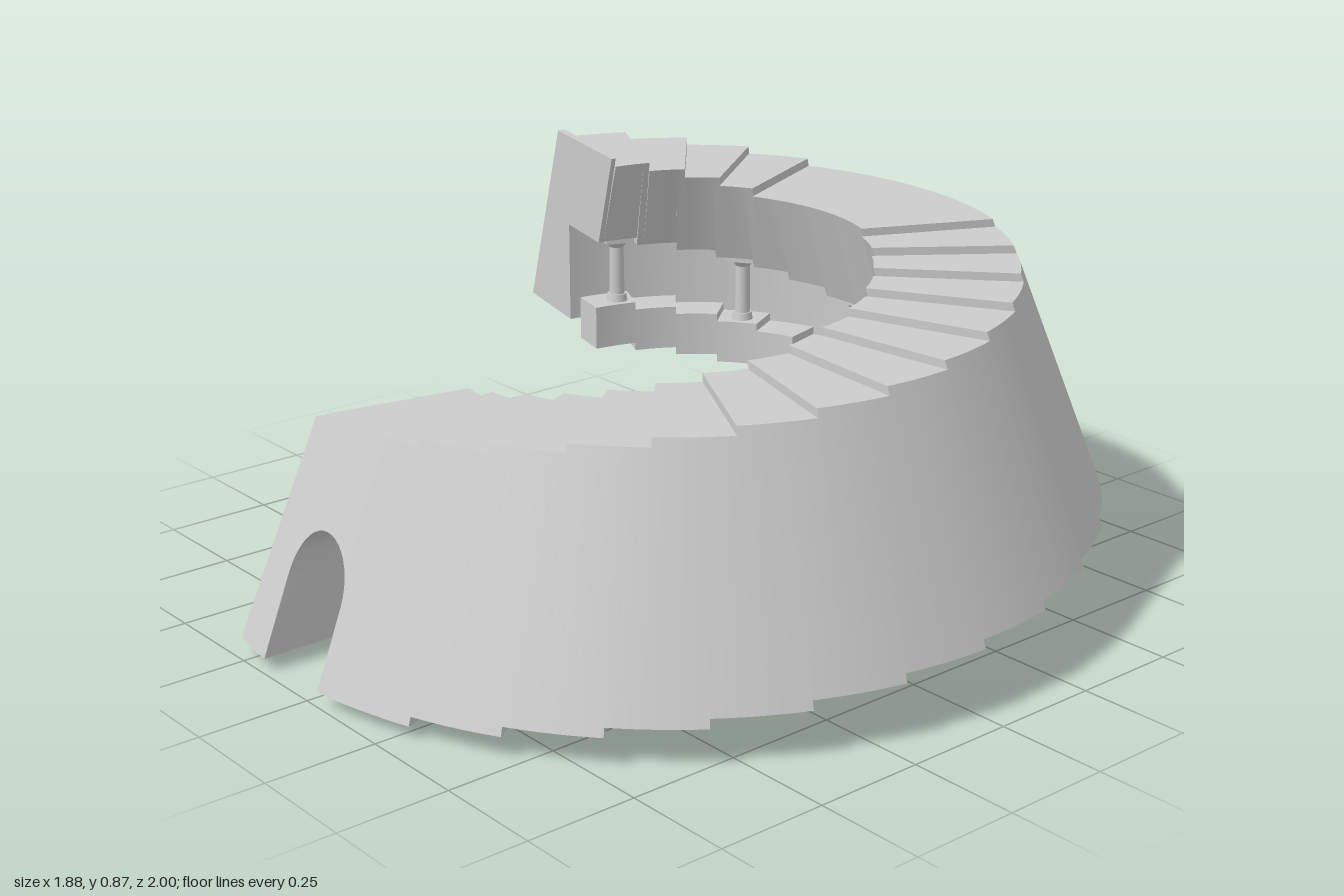
import * as THREE from 'three';
import { toCreasedNormals } from 'three/addons/utils/BufferGeometryUtils.js';

const RAD = Math.PI / 180;
const START = -13.3, END = 254.5;        // sweep in degrees, from +z towards +x
const DOOR = 0.103;                      // half width of the doorway
const DOOR_ANGLE = Math.asin(DOOR / 0.81) / RAD;

const range = (n, f) => Array.from({ length: n }, (_, i) => f(i));
const topRisers = range(15, i => -10 + 11.8 * i);
const upperRisers = range(5, i => 204 + 12.25 * i);
const baseRisers = range(20, i => 20.5 + 11.7 * i);
const passed = (edges, a) => edges.filter(e => e <= a).length;

// Stepped heights of the treads and of the underside
const topAt = a => 0.5 + passed(topRisers, a) * 0.01833 + passed(upperRisers, a) * 0.02;
const baseAt = a => 0.03 + passed(baseRisers, a) * 0.01875;

// Radius of the battered outer wall at a height, following the smooth helix
function outerRadius(a, y) {
  const low = 0.03 + Math.max(0, a - 14.6) / 11.7 * 0.01875;
  const high = 0.5 + 0.375 * (a - START) / (END - START);
  return 1 - 0.19 * (y - low) / (high - low);
}

// Ring position; the last part tightens a little, the doorway keeps parallel jambs
function place(a, r, y) {
  const t = Math.max(0, (a - 195) / (END - 195));
  let turn = a * RAD;
  if (Math.abs(a) < DOOR_ANGLE + 0.01 && r > 0.7) turn = Math.asin(0.81 * Math.sin(turn) / r);
  return [-0.07 + 0.09 * t + r * Math.sin(turn), y, -0.035 * t + r * Math.cos(turn)];
}

// Sweeps a [radius, height] profile round the ring, closing every step with caps
function sweep(edges, profileAt) {
  const out = [];
  const tri = (...pts) => pts.forEach(p => out.push(...p));
  const sorted = [START, ...edges, END].sort((p, q) => p - q);
  for (let k = 0; k < sorted.length - 1; k++) {
    const a0 = sorted[k], a1 = sorted[k + 1];
    if (a1 - a0 < 1e-4) continue;
    const mid = (a0 + a1) / 2;
    const n = Math.max(1, Math.ceil((a1 - a0) / 2));
    const ring = a => profileAt(a, mid).map(([r, y]) => place(a, r, y));
    const rings = range(n + 1, i => ring(a0 + (a1 - a0) * i / n));
    const m = rings[0].length;
    for (let i = 0; i < n; i++) {
      for (let j = 0; j < m; j++) {
        const h = (j + 1) % m;
        const a = rings[i][j], b = rings[i + 1][j], c = rings[i + 1][h], d = rings[i][h];
        tri(a, b, c);
        tri(a, c, d);
      }
    }
    [[a0, rings[0], false], [a1, rings[n], true]].forEach(([a, pts, flip]) => {
      const flat = profileAt(a, mid).map(([r, y]) => new THREE.Vector2(r, y));
      THREE.ShapeUtils.triangulateShape(flat, []).forEach(([p, q, s]) =>
        flip ? tri(pts[p], pts[s], pts[q]) : tri(pts[p], pts[q], pts[s]));
    });
  }
  const geo = new THREE.BufferGeometry();
  geo.setAttribute('position', new THREE.Float32BufferAttribute(out, 3));
  return toCreasedNormals(geo, 0.45);
}

// Wall with the overhanging stair above the gallery; the arch raises its underside
function wallProfile(a, mid) {
  const top = topAt(mid), base = baseAt(mid), soffit = base + 0.245;
  let low = base;
  if (Math.abs(mid) < DOOR_ANGLE) {
    const u = Math.min(1, Math.abs(Math.sin(a * RAD) * 0.81 / DOOR));
    low = 0.2 + 0.12 * Math.sqrt(1 - u * u);
  }
  return [
    [outerRadius(a, low), low], [outerRadius(a, top), top], [0.475, top],
    [0.56, soffit], [0.747, soffit], [0.747, low],
  ];
}

function curbProfile(a, mid) {
  const base = baseAt(mid);
  return [[0.68, base - 0.03], [0.68, base + 0.075], [0.58, base + 0.075], [0.58, base - 0.03]];
}

export function createModel() {
  const group = new THREE.Group();
  const material = new THREE.MeshStandardMaterial({ color: 0xcccccc });
  const add = (parent, name, geo, x = 0, y = 0, z = 0) => {
    const mesh = new THREE.Mesh(geo, material);
    mesh.name = name;
    mesh.position.set(x, y, z);
    parent.add(mesh);
    return mesh;
  };

  // Close stations round the arch, denser towards the jambs
  const archStations = range(21, i => -Math.cos(Math.PI * i / 20) * DOOR_ANGLE);
  add(group, 'spiralWallAndStair',
    sweep([...topRisers, ...upperRisers, ...baseRisers, ...archStations], wallProfile));

  add(group, 'galleryCurb', sweep(baseRisers, curbProfile));

  // Columns standing on the curb and carrying the overhang
  for (let i = 0; i < 8; i++) {
    const a = 11 + 33.7 * i;
    const low = baseAt(a) + 0.075, high = baseAt(a) + 0.245, h = high - low;
    const column = new THREE.Group();
    column.name = 'column' + (i + 1);
    column.position.set(...place(a, 0.62, low));
    column.rotation.y = a * RAD;
    add(column, 'shaft', new THREE.CylinderGeometry(0.017, 0.019, h, 20), 0, h / 2, 0);
    add(column, 'foot', new THREE.CylinderGeometry(0.023, 0.026, 0.018, 20), 0, 0.009, 0);
    add(column, 'necking', new THREE.CylinderGeometry(0.03, 0.018, 0.015, 20), 0, h - 0.0255, 0);
    add(column, 'capital', new THREE.BoxGeometry(0.07, 0.018, 0.07), 0, h - 0.009, 0);
    group.add(column);
  }
  return group;
}
